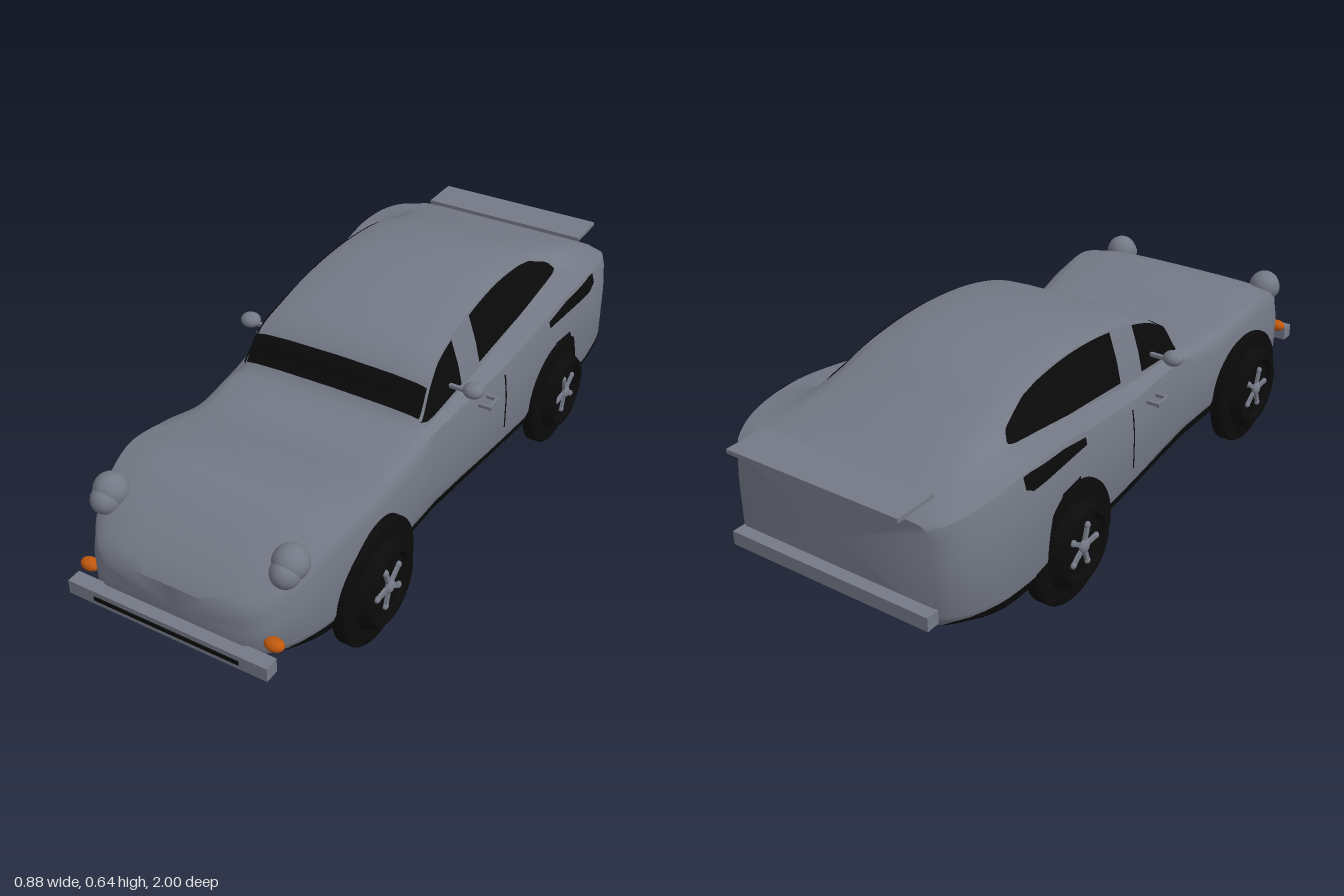
import * as THREE from 'three';
import { toCreasedNormals } from 'three/addons/utils/BufferGeometryUtils.js';

const grey = new THREE.MeshStandardMaterial({ color: 0x747986 });
grey.name = 'bodyGrey';
const black = new THREE.MeshStandardMaterial({ color: 0x0a0a0a, side: THREE.DoubleSide });
black.name = 'trimBlack';
const orange = new THREE.MeshStandardMaterial({ color: 0xc0580f });
orange.name = 'indicatorOrange';

// Stations: z, half width, shoulder y, cabin base x, roof edge x, roof edge y, centre y
const STATIONS = [
  [.965, .21, .28, .19, .14, .305, .31],
  [.94, .26, .31, .24, .18, .335, .34],
  [.85, .315, .37, .295, .22, .395, .40],
  [.7, .35, .425, .33, .25, .45, .455],
  [.55, .35, .415, .325, .25, .435, .44],
  [.4, .335, .39, .31, .24, .41, .412],
  [.25, .335, .405, .31, .27, .425, .43],
  [.215, .335, .41, .30, .28, .445, .455],
  [.16, .34, .415, .30, .275, .52, .535],
  [.08, .347, .42, .30, .262, .565, .58],
  [-.1, .365, .43, .30, .255, .605, .62],
  [-.3, .382, .455, .30, .25, .615, .635],
  [-.5, .395, .487, .30, .25, .59, .61],
  [-.65, .405, .495, .30, .25, .545, .56],
  [-.8, .395, .48, .31, .25, .503, .508],
  [-.9, .355, .455, .30, .23, .47, .475],
  [-.935, .31, .435, .28, .21, .45, .455],
];

// Smooth interpolation of one column at z
function column(z, c) {
  const S = STATIONS, last = S.length - 1;
  let i = 0;
  while (i < last - 1 && z < S[i + 1][0]) i++;
  const slope = k => {
    const a = S[Math.max(k - 1, 0)], b = S[Math.min(k + 1, last)];
    return (b[c] - a[c]) / (b[0] - a[0]);
  };
  const h = S[i + 1][0] - S[i][0], t = (z - S[i][0]) / h, t2 = t * t, t3 = t2 * t;
  return (2 * t3 - 3 * t2 + 1) * S[i][c] + (t3 - 2 * t2 + t) * h * slope(i)
    + (3 * t2 - 2 * t3) * S[i + 1][c] + (t3 - t2) * h * slope(i + 1);
}

// Half cross-section from the roof centre down to the floor centre
function half(z) {
  const [w, ys, gx, rx, ry, yt] = [1, 2, 3, 4, 5, 6].map(c => column(z, c));
  const yb = .13 + .03 * THREE.MathUtils.smoothstep(Math.abs(z), .75, .96);
  const gy = Math.min(ys + .012, ry);
  return [
    [0, yt], [rx * .6, yt - (yt - ry) * .2], [rx * .88, yt - (yt - ry) * .55], [rx, ry],
    [(rx + gx) / 2 + .004, (ry + gy) / 2], [gx, gy], [w * .965, ys], [w - .006, ys - .03],
    [w, ys * .6 + .08], [w, .2], [w * .96, yb + .025], [w * .86, yb], [0, yb],
  ];
}

// Side surface x at a given z and y
function sideX(z, y) {
  const p = half(z);
  for (let k = 3; k < p.length - 2; k++) {
    const [x0, y0] = p[k], [x1, y1] = p[k + 1];
    if (y <= y0 && y >= y1 && y0 > y1) return x0 + (x1 - x0) * (y0 - y) / (y0 - y1);
  }
  return y > p[3][1] ? p[3][0] : p[11][0];
}

// Surface through rows of points, optionally closed into a capped hull
function sheet(rows, closed) {
  const n = rows[0].length, pos = rows.flat(2), idx = [], m = closed ? n : n - 1;
  for (let i = 0; i < rows.length - 1; i++) for (let j = 0; j < m; j++) {
    const k = (j + 1) % n, a = i * n + j, b = i * n + k;
    idx.push(a, b, b + n, a, b + n, a + n);
  }
  if (closed) [0, rows.length - 1].forEach(r => {
    const c = pos.length / 3, y = (rows[r][0][1] + rows[r][(n / 2)][1]) / 2;
    pos.push(0, y, rows[r][0][2]);
    for (let j = 0; j < n; j++) {
      const a = r * n + j, b = r * n + (j + 1) % n;
      if (r) idx.push(c, a, b); else idx.push(c, b, a);
    }
  });
  const g = new THREE.BufferGeometry();
  g.setAttribute('position', new THREE.Float32BufferAttribute(pos, 3));
  g.setIndex(idx);
  g.computeVertexNormals();
  return closed ? toCreasedNormals(g, .65) : g;
}

// Thin panel on the body side; outline holds [z, low y, high y]
function sidePanel(outline, s) {
  const rows = [], cols = 48, z0 = outline[0][0], z1 = outline[outline.length - 1][0];
  for (let i = 0; i <= cols; i++) {
    const z = z0 + (z1 - z0) * i / cols;
    let k = 0;
    while (k < outline.length - 2 && z < outline[k + 1][0]) k++;
    const a = outline[k], b = outline[k + 1], t = (z - a[0]) / (b[0] - a[0]);
    const p = half(z), lo = Math.max(a[1] + (b[1] - a[1]) * t, p[11][1] + .001);
    const hi = Math.max(lo, Math.min(a[2] + (b[2] - a[2]) * t, p[3][1] - .002));
    const row = [];
    for (let j = 0; j <= 10; j++) {
      const y = hi + (lo - hi) * j / 10;
      row.push([s * (sideX(z, y) + .005), y, z]);
    }
    rows.push(s > 0 ? row : row.reverse());
  }
  return sheet(rows, false);
}

export function createModel() {
  const car = new THREE.Group();
  car.name = 'car';
  const add = (name, geo, mat, x = 0, y = 0, z = 0, parent = car) => {
    const m = new THREE.Mesh(geo, mat);
    m.name = name;
    m.position.set(x, y, z);
    parent.add(m);
    return m;
  };
  const box = (w, h, d) => new THREE.BoxGeometry(w, h, d);
  const ball = (rx, ry, rz) => new THREE.SphereGeometry(1, 24, 16).scale(rx, ry, rz);

  // Body shell
  const rows = [];
  for (let i = 0; i <= 100; i++) {
    const z = .965 - 1.9 * i / 100, p = half(z);
    const left = p.slice(1, -1).reverse().map(([x, y]) => [-x, y]);
    rows.push([...p, ...left].map(([x, y]) => [x, y, z]));
  }
  add('body', sheet(rows, true), grey);

  // Windscreen
  const glass = [];
  for (let i = 0; i <= 8; i++) {
    const z = .165 + .05 * (1 - i / 8), p = half(z).slice(0, 4);
    const strip = [...p.slice(1).reverse().map(([x, y]) => [-x, y]), ...p];
    glass.push(strip.map(([x, y]) => [x, y + .004, z + .004]));
  }
  add('windscreen', sheet(glass, false), black);

  // Side glass, trim and fittings
  for (const s of [1, -1]) {
    const panel = (name, outline) => add(name, sidePanel(outline, s), black);
    panel('frontSideWindow', [[.23, .44, .455], [.2, .44, .5], [.1, .445, .575], [.01, .45, .59]]);
    panel('rearSideWindow', [[-.1, .46, .61], [-.35, .48, .62], [-.5, .5, .585], [-.6, .51, .54], [-.615, .515, .52]]);
    panel('quarterVent', [[-.4, .44, .46], [-.5, .44, .478], [-.66, .443, .493], [-.69, .46, .492]]);
    panel('doorLine', [[-.137, .235, .415], [-.144, .235, .415]]);
    panel('sill', [[.9, .13, .165], [.86, .13, .19], [-.85, .13, .19], [-.91, .14, .18]]);
    panel('rearArch', [[-.44, .2, .37], [-.53, .2, .365], [-.56, .2, .3]]);

    add('mirror', ball(.03, .022, .028), grey, s * .367, .485, .07);
    add('mirrorArm', box(.07, .01, .012), grey, s * .325, .478, .07);
    add('doorHandle', box(.01, .012, .06), grey, s * .39, .395, -.02);
    for (const z of [.005, -.045]) add('handleMount', box(.035, .01, .008), grey, s * .372, .395, z);
    add('headlight', ball(.048, .048, .048), grey, s * .273, .41, .835);
    add('headlightLens', ball(.04, .04, .04), grey, s * .273, .395, .86);
    add('indicator', ball(.028, .018, .02), orange, s * .284, .23, .935);
  }

  // Bumpers and spoiler
  add('frontBumper', box(.61, .042, .042), grey, 0, .193, .979);
  add('bumperStrip', box(.445, .013, .004), black, 0, .192, 1);
  add('rearBumper', box(.64, .04, .04), grey, 0, .205, -.952);
  add('spoiler', box(.545, .012, .13), grey, 0, .492, -.935);

  // Wheels: tyre with raised outer rim, and five spokes
  const profile = [[0, 0], [.165, 0], [.18, .008], [.18, .04], [.176, .045], [.13, .047],
    [.11, .08], [.095, .08], [.085, .066], [0, .066]].map(([r, h]) => new THREE.Vector2(r, h));
  const tyre = toCreasedNormals(new THREE.LatheGeometry(profile, 40), .5);
  for (const s of [1, -1]) for (const front of [true, false]) {
    const wheel = new THREE.Group();
    wheel.name = front ? 'frontWheel' : 'rearWheel';
    wheel.position.set(s * (front ? .322 : .356), front ? .18 : .185, front ? .57 : -.47);
    wheel.rotation.z = -s * Math.PI / 2;
    if (!front) wheel.scale.set(.97, 1, .97);
    add('tyre', tyre, black, 0, 0, 0, wheel);
    add('hub', ball(.02, .012, .02), grey, 0, .072, 0, wheel);
    for (let k = 0; k < 5; k++) {
      const a = k * Math.PI * 2 / 5 + .3;
      const spoke = add('spoke', box(.05, .01, .013), grey, Math.cos(a) * .037, .07, Math.sin(a) * .037, wheel);
      spoke.rotation.y = -a;
      add('spokeTip', ball(.01, .008, .01), grey, Math.cos(a) * .06, .07, Math.sin(a) * .06, wheel);
    }
    car.add(wheel);
  }
  return car;
}
